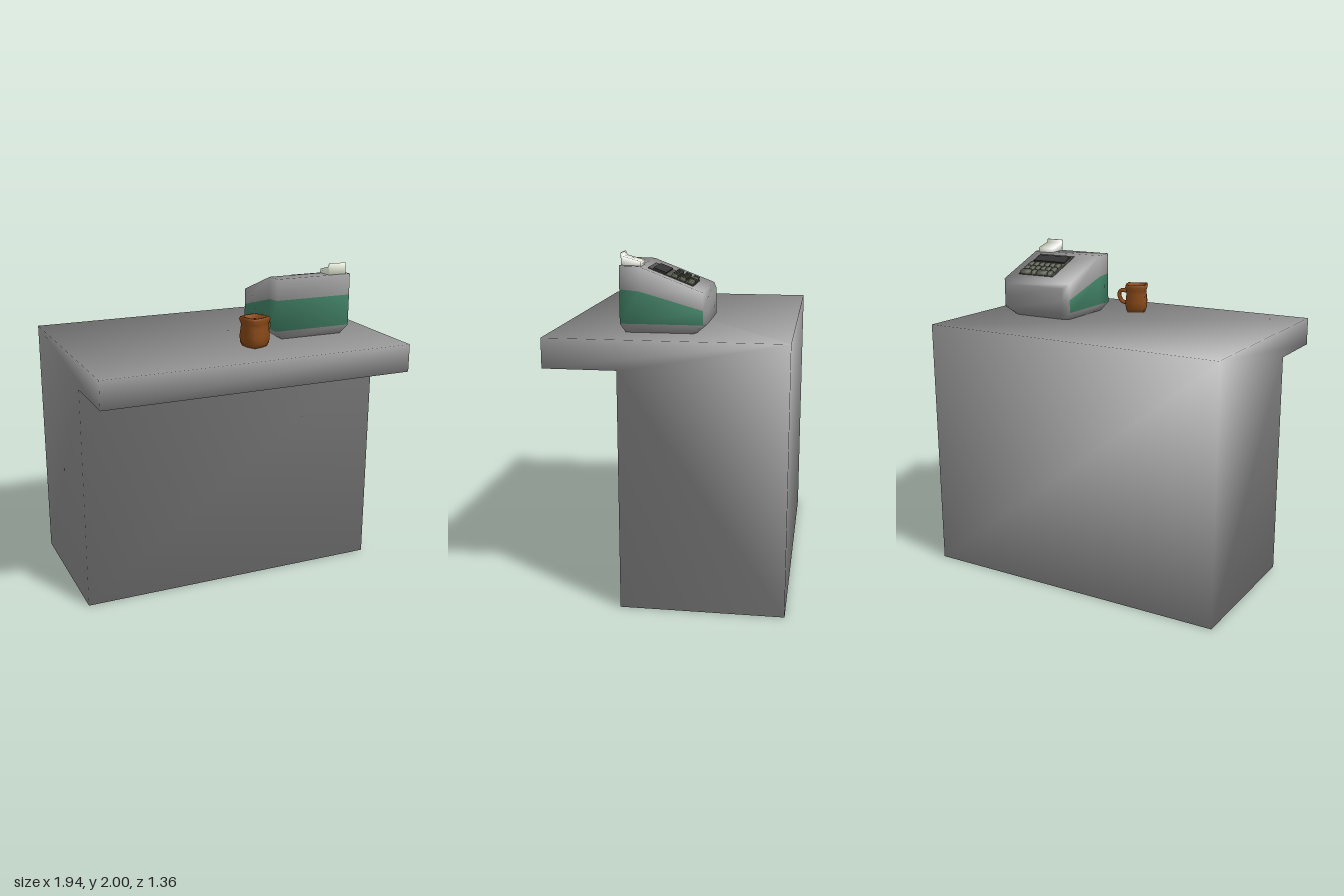
import * as THREE from 'three';

const mat = (color) => new THREE.MeshStandardMaterial({ color });
const grey = mat(0x999999), green = mat(0x46886c), brown = mat(0x8a4a18), coffeeMat = mat(0x3c1a12);
const panelMat = mat(0x52524c), screenMat = mat(0x343434), keyMat = mat(0x5e6352), paperMat = mat(0xf6ffe8);

function add(parent, name, geometry, material, x = 0, y = 0, z = 0) {
  const mesh = new THREE.Mesh(geometry, material);
  mesh.name = name;
  mesh.position.set(x, y, z);
  parent.add(mesh);
  return mesh;
}

// Smooth normals across every edge, each face weighted by its corner angle
function softened(geometry) {
  const g = geometry.index ? geometry.toNonIndexed() : geometry;
  const p = g.attributes.position;
  const sums = new Map();
  const at = (i) => new THREE.Vector3().fromBufferAttribute(p, i);
  const keyOf = (v) => v.toArray().map((n) => Math.round(n * 1e4)).join();
  for (let i = 0; i < p.count; i += 3) {
    const c = [at(i), at(i + 1), at(i + 2)];
    const n = new THREE.Triangle(...c).getNormal(new THREE.Vector3());
    c.forEach((v, k) => {
      const angle = c[(k + 1) % 3].clone().sub(v).angleTo(c[(k + 2) % 3].clone().sub(v));
      const key = keyOf(v);
      if (!sums.has(key)) sums.set(key, new THREE.Vector3());
      sums.get(key).addScaledVector(n, angle);
    });
  }
  const normals = [];
  for (let i = 0; i < p.count; i++) normals.push(...sums.get(keyOf(at(i))).clone().normalize());
  g.setAttribute('normal', new THREE.Float32BufferAttribute(normals, 3));
  g.clearGroups();
  return g;
}

// Side profile given as [z, y] pairs, extruded along x from x0 to x1
function sideExtrude(profile, x0, x1) {
  const shape = new THREE.Shape(profile.map(([z, y]) => new THREE.Vector2(-z, y)));
  const g = new THREE.ExtrudeGeometry(shape, { depth: x1 - x0, bevelEnabled: false });
  return softened(g.rotateY(Math.PI / 2).translate(x0, 0, 0));
}

function quadGeometry(quads) {
  const pos = [];
  for (const [a, b, c, d] of quads) for (const p of [a, b, c, a, c, d]) pos.push(...p);
  const g = new THREE.BufferGeometry();
  g.setAttribute('position', new THREE.Float32BufferAttribute(pos, 3));
  return softened(g);
}

function createRegister() {
  const register = new THREE.Group();
  register.name = 'cashRegister';
  const x0 = 0.275, x1 = 0.77, c = 0.045;

  // Half plan as [inset, z, bandTop, top], front to back
  const stations = [
    [0, 0.28, 1.80, 1.93], [0, 0.17, 1.79, 1.927],
    [0, -0.185, 1.69, 1.79], [c, -0.205, 1.685, 1.76],
  ];
  const ring = (f) => {
    const right = stations.map((s) => f(s, x1 - s[0]));
    const left = stations.map((s) => f(s, x0 + s[0]));
    return [left[0], ...right, left[3], left[2], left[1]];
  };
  const midX = (x0 + x1) / 2;
  const rings = [
    ring((s, x) => [midX + (x - midX) * 0.82, 1.555, 0.05 + (s[1] - 0.05) * (s[1] > 0.05 ? 0.9 : 0.75)]),
    ring((s, x) => [x, 1.61, s[1]]),
    ring((s, x) => [x, s[2], s[1]]),
    ring((s, x) => [x, s[3], s[1]]),
  ];

  // Walls, with a green band on the front and both sides
  const body = [], band = [];
  for (let r = 0; r < 3; r++) {
    for (let i = 0; i < 8; i++) {
      const j = (i + 1) % 8;
      const isBand = r === 1 && (i < 3 || i > 5);
      (isBand ? band : body).push([rings[r][i], rings[r][j], rings[r + 1][j], rings[r + 1][i]]);
    }
  }
  // Top and bottom caps
  const L = [0, 7, 6, 5], R = [1, 2, 3, 4];
  for (let k = 0; k < 3; k++) {
    const t = rings[3], b = rings[0];
    body.push([t[L[k]], t[R[k]], t[R[k + 1]], t[L[k + 1]]]);
    body.push([b[L[k]], b[L[k + 1]], b[R[k + 1]], b[R[k]]]);
  }
  const shell = quadGeometry([...body, ...band]);
  shell.addGroup(0, body.length * 6, 0);
  shell.addGroup(body.length * 6, band.length * 6, 1);
  add(register, 'registerBody', shell, [grey, green]);

  // Sloping keypad with screen
  const keypad = new THREE.Group();
  keypad.name = 'keypad';
  keypad.position.set(0.572, 1.863, 0.006);
  keypad.rotation.x = -Math.atan2(0.137, 0.355);
  register.add(keypad);
  add(keypad, 'keypadPanel', new THREE.BoxGeometry(0.262, 0.008, 0.272), panelMat, 0, 0.001, 0);
  add(keypad, 'screen', new THREE.BoxGeometry(0.235, 0.012, 0.076), screenMat, 0, 0.008, 0.07);

  // Key with a slightly narrower top
  const key = (x, z, w) => {
    const g = new THREE.BoxGeometry(w, 0.024, 0.038);
    const p = g.attributes.position;
    for (let i = 0; i < p.count; i++) {
      if (p.getY(i) > 0) p.setXYZ(i, p.getX(i) - Math.sign(p.getX(i)) * 0.003, p.getY(i), p.getZ(i) * 0.85);
    }
    add(keypad, 'key', softened(g), keyMat, x, 0.012, z);
  };
  for (const z of [-0.018, -0.067]) {
    for (let i = 0; i < 6; i++) key(-0.102 + i * 0.0408, z, 0.034);
  }
  for (const [x, w] of [[-0.102, 0.034], [-0.041, 0.075], [0.02, 0.034], [0.082, 0.075]]) key(x, -0.115, w);

  // Receipt printer with its upright slip
  const printer = [[0.275, 1.925], [0.275, 2.0], [0.268, 1.998], [0.26, 1.978], [0.163, 1.951], [0.163, 1.915]];
  add(register, 'receiptPrinter', sideExtrude(printer, 0.627, 0.741), paperMat);
  return register;
}

function createMug() {
  const mug = new THREE.Group();
  mug.name = 'mug';
  mug.position.set(0.096, 1.555, 0.343);
  mug.rotation.y = -0.42;

  // Eight-sided lathe pulled towards a rounded square
  const profile = [
    [0, 0], [0.072, 0], [0.086, 0.025], [0.09, 0.065], [0.083, 0.115], [0.083, 0.14],
    [0.093, 0.165], [0.088, 0.18], [0.07, 0.178], [0.064, 0.145],
  ].map(([r, y]) => new THREE.Vector2(r, y));
  const squared = (g) => {
    const p = g.attributes.position;
    for (let i = 0; i < p.count; i++) {
      const a = Math.atan2(p.getZ(i), p.getX(i));
      const f = 1 - 0.22 * Math.sin(2 * a) ** 2;
      p.setXYZ(i, p.getX(i) * f, p.getY(i), p.getZ(i) * f);
    }
    return g;
  };
  add(mug, 'mugBody', softened(squared(new THREE.LatheGeometry(profile, 8))), brown);
  const coffee = squared(new THREE.CircleGeometry(0.067, 8).rotateX(-Math.PI / 2));
  add(mug, 'coffee', coffee, coffeeMat, 0, 0.152, 0);

  // Handle on the middle of one flat side
  const path = new THREE.CatmullRomCurve3(
    [[0.058, 0.132], [0.1, 0.138], [0.114, 0.122], [0.108, 0.085], [0.09, 0.062], [0.06, 0.058]]
      .map(([r, y]) => new THREE.Vector3(r, y, 0)));
  const handle = add(mug, 'mugHandle', new THREE.TubeGeometry(path, 12, 0.013, 6), brown);
  handle.scale.z = 1.6;
  handle.rotation.y = Math.PI / 4;
  return mug;
}

export function createModel() {
  const model = new THREE.Group();
  model.name = 'checkoutCounter';

  // Counter with an overhanging top at the front
  const outline = [
    [0.26, 0], [0.26, 1.385], [0.678, 1.385], [0.678, 1.555], [-0.678, 1.555], [-0.678, 0],
  ];
  add(model, 'counter', sideExtrude(outline, -0.968, 0.968), grey);

  model.add(createRegister(), createMug());
  return model;
}
